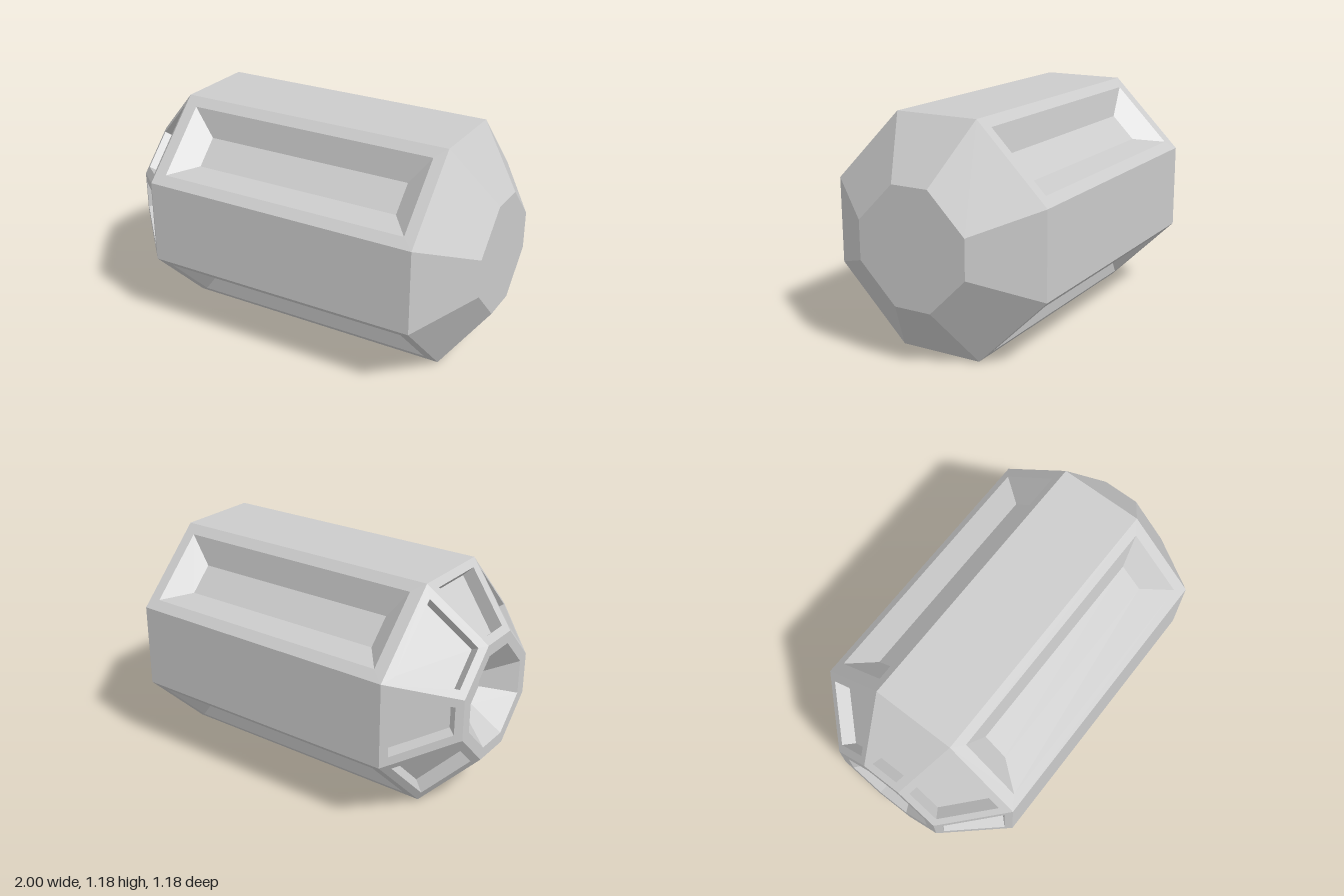
import * as THREE from 'three';

const CY = 0.5925; // height of the barrel's axis
const V = (x, y, z) => new THREE.Vector3(x, y, z);

// Octagon across the x axis: a = distance to the flat sides, h = half width of those sides
const octagon = (x, a, h) =>
  [[a, -h], [a, h], [h, a], [-h, a], [-a, h], [-a, -h], [-h, -a], [h, -a]]
    .map(([z, y]) => V(x, CY + y, z));

const quad = (out, a, b, c, d) => out.push(a, b, c, a, c, d);

// Corners of the face between two octagons, counter-clockwise from outside
const face = (L, R, i) => [L[i], R[i], R[(i + 1) % 8], L[(i + 1) % 8]];

function band(out, L, R) {
  for (let i = 0; i < 8; i++) quad(out, ...face(L, R, i));
}

// Face with a sunken pocket: border, side walls and floor
function pocket(out, outer, rim, floor) {
  for (let k = 0; k < 4; k++) {
    const n = (k + 1) % 4;
    quad(out, outer[k], outer[n], rim[n], rim[k]);
    quad(out, rim[k], rim[n], floor[n], floor[k]);
  }
  quad(out, ...floor);
}

const faceNormal = (f) =>
  f[1].clone().sub(f[0]).cross(f[3].clone().sub(f[0])).normalize();

// Trapezoid lying on face f between xa and xb, inset sideways by border, sunk by depth
function inset(f, xa, xb, border, depth) {
  const push = faceNormal(f).multiplyScalar(-depth);
  const ends = [xa, xb].map((x) => {
    const t = (x - f[0].x) / (f[1].x - f[0].x);
    const lo = f[0].clone().lerp(f[1], t), hi = f[3].clone().lerp(f[2], t);
    const step = hi.clone().sub(lo).setLength(border);
    return [lo.add(step).add(push), hi.sub(step).add(push)];
  });
  return [ends[0][0], ends[1][0], ends[1][1], ends[0][1]];
}

export function createModel() {
  const group = new THREE.Group();
  const material = new THREE.MeshStandardMaterial({ color: 0xcccccc, flatShading: true });
  const add = (name, build) => {
    const points = [];
    build(points);
    const geometry = new THREE.BufferGeometry().setFromPoints(points);
    geometry.computeVertexNormals();
    const mesh = new THREE.Mesh(geometry, material);
    mesh.name = name;
    group.add(mesh);
  };

  const mouth = octagon(-1, 0.31, 0.108);
  const bodyA = octagon(-0.72, 0.5925, 0.222);
  const bodyB = octagon(0.775, 0.5925, 0.222);
  const tip = octagon(1, 0.297, 0.1);
  const hole = octagon(-1, 0.25, 0.09);
  const holeFloor = octagon(-0.85, 0.11, 0.04);

  // Barrel: plain flats alternate with sunken tapered panels on the diagonals
  add('barrel', (out) => {
    for (let i = 0; i < 8; i++) {
      const f = face(bodyA, bodyB, i);
      if (i % 2 === 0) quad(out, ...f);
      else pocket(out, f, inset(f, -0.655, 0.715, 0.06, 0), inset(f, -0.54, 0.6, 0.178, 0.088));
    }
  });

  // Tapered end with a straight-sided window recess in every face
  add('windowedEnd', (out) => {
    for (let i = 0; i < 8; i++) {
      const f = face(mouth, bodyA, i);
      const rim = inset(f, -0.97, -0.75, 0.046, 0);
      const push = faceNormal(f).multiplyScalar(-0.077);
      pocket(out, f, rim, rim.map((p) => p.clone().add(push)));
    }
  });

  // Flat rim and funnel-shaped opening
  add('mouthRim', (out) => band(out, hole, mouth));
  add('mouthFunnel', (out) => {
    band(out, holeFloor, hole);
    band(out, octagon(-0.85, 0, 0), holeFloor);
  });

  // Closed tapered end with its flat cap
  add('closedEnd', (out) => band(out, bodyB, tip));
  add('endCap', (out) => band(out, tip, octagon(1, 0, 0)));

  return group;
}
